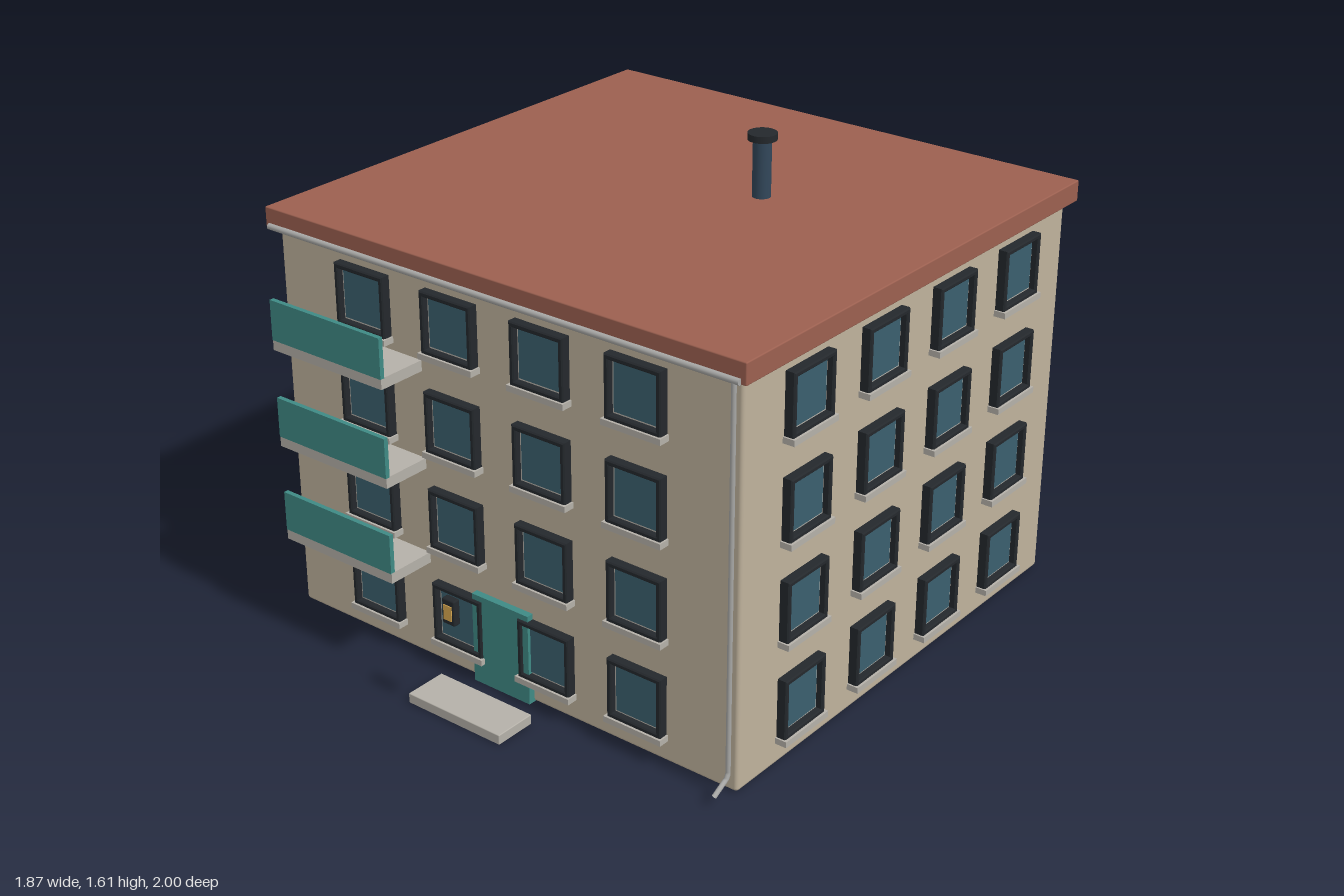
import * as THREE from 'three';
import { RoundedBoxGeometry } from 'three/addons/geometries/RoundedBoxGeometry.js';

const mat = (color) => new THREE.MeshStandardMaterial({ color });
const M = {
  wall: mat(0xbfb29c), roof: mat(0x9c6050), stone: mat(0xb5b1a9), teal: mat(0x3f8a85),
  frame: mat(0x24282c), glass: mat(0x3a5f6e), pipe: mat(0xa8a8a6), chimney: mat(0x32475a),
  lamp: mat(0xd9a850),
};

function add(parent, name, geometry, material, x = 0, y = 0, z = 0) {
  const mesh = new THREE.Mesh(geometry, material);
  mesh.name = name;
  mesh.position.set(x, y, z);
  parent.add(mesh);
  return mesh;
}

// Box given by its min and max on each axis
function block(parent, name, material, [x0, x1], [y0, y1], [z0, z1], radius = 0) {
  const size = [x1 - x0, y1 - y0, z1 - z0];
  const geometry = radius ? new RoundedBoxGeometry(...size, 2, radius) : new THREE.BoxGeometry(...size);
  return add(parent, name, geometry, material, (x0 + x1) / 2, (y0 + y1) / 2, (z0 + z1) / 2);
}

function square(half, Type = THREE.Shape) {
  const s = new Type();
  s.moveTo(-half, -half);
  s.lineTo(half, -half);
  s.lineTo(half, half);
  s.lineTo(-half, half);
  s.closePath();
  return s;
}

// Shared window geometry
const ring = square(0.098);
ring.holes.push(square(0.089, THREE.Path));
const frameGeo = new THREE.ExtrudeGeometry(ring, {
  depth: 0.028, bevelThickness: 0.004, bevelSize: 0.004, bevelSegments: 1,
});
const trimGeo = new THREE.BoxGeometry(0.174, 0.174, 0.02);
const glassGeo = new THREE.BoxGeometry(0.158, 0.158, 0.026);
const sillGeo = new THREE.BoxGeometry(0.216, 0.02, 0.04);

function makeWindow() {
  const g = new THREE.Group();
  g.name = 'window';
  add(g, 'windowFrame', frameGeo, M.frame);
  add(g, 'windowTrim', trimGeo, M.stone);
  add(g, 'windowGlass', glassGeo, M.glass);
  add(g, 'windowSill', sillGeo, M.stone, 0, -0.108, 0.02);
  return g;
}

export function createModel() {
  const model = new THREE.Group();
  model.name = 'apartmentBuilding';
  const cz = -0.107, hx = 0.893, hz = 0.853, storey = 0.33;

  // Main block and flat roof
  block(model, 'walls', M.wall, [-hx, hx], [0.003, 1.326], [cz - hz, cz + hz], 0.012);
  block(model, 'roof', M.roof, [-0.923, 0.923], [1.328, 1.398], [cz - 0.883, cz + 0.883], 0.004);

  // Four by four windows on each of the four walls
  for (let side = 0; side < 4; side++) {
    const wall = new THREE.Group();
    wall.name = ['frontWindows', 'leftWindows', 'backWindows', 'rightWindows'][side];
    wall.position.z = cz;
    wall.rotation.y = side * Math.PI / 2;
    const out = side % 2 ? hx : hz;
    const step = side % 2 ? 0.373 : 0.354;
    for (let row = 0; row < 4; row++) {
      for (let col = 0; col < 4; col++) {
        const w = makeWindow();
        w.position.set((col - 1.5) * step, 0.195 + row * storey, out);
        wall.add(w);
      }
    }
    model.add(wall);
  }

  // Balconies on the upper three storeys
  for (let i = 0; i < 3; i++) {
    const y = 0.346 + i * storey;
    const balcony = new THREE.Group();
    balcony.name = 'balcony';
    block(balcony, 'balconySlab', M.stone, [-0.77, -0.308], [y, y + 0.036], [0.745, 0.918]);
    block(balcony, 'balconyPanel', M.teal, [-0.77, -0.308], [y + 0.034, y + 0.168], [0.904, 0.92]);
    model.add(balcony);
  }

  // Entrance
  block(model, 'door', M.teal, [-0.114, 0.114], [0.003, 0.316], [0.74, 0.77]);
  block(model, 'entranceStep', M.stone, [-0.188, 0.186], [0, 0.034], [0.843, 0.99], 0.003);

  // Entrance lamp
  const lamp = new THREE.Group();
  lamp.name = 'entranceLamp';
  block(lamp, 'lampHousing', M.frame, [-0.026, 0.024], [0.35, 0.437], [0.966, 0.993], 0.006);
  block(lamp, 'lampGlass', M.lamp, [-0.017, 0.015], [0.367, 0.417], [0.98, 0.996]);
  model.add(lamp);

  // Gutter along the front eave
  const gutter = add(model, 'gutter', new THREE.CylinderGeometry(0.01, 0.01, 1.81, 12), M.pipe, 0, 1.338, 0.78);
  gutter.rotation.z = Math.PI / 2;

  // Downpipe with its angled spout
  const path = new THREE.CurvePath();
  const pts = [[1.34, 0.78], [0.085, 0.78], [0.072, 0.787], [0.042, 0.845]]
    .map(([y, z]) => new THREE.Vector3(0.885, y, z));
  for (let i = 0; i < 3; i++) path.add(new THREE.LineCurve3(pts[i], pts[i + 1]));
  const pipeMat = M.pipe.clone();
  pipeMat.side = THREE.DoubleSide;
  add(model, 'downpipe', new THREE.TubeGeometry(path, 120, 0.008, 10), pipeMat);

  // Chimney
  add(model, 'chimney', new THREE.CylinderGeometry(0.03, 0.03, 0.2, 24), M.chimney, 0.22, 1.49, -0.248);
  add(model, 'chimneyCap', new THREE.CylinderGeometry(0.047, 0.047, 0.022, 24), M.frame, 0.22, 1.596, -0.248);

  return model;
}
